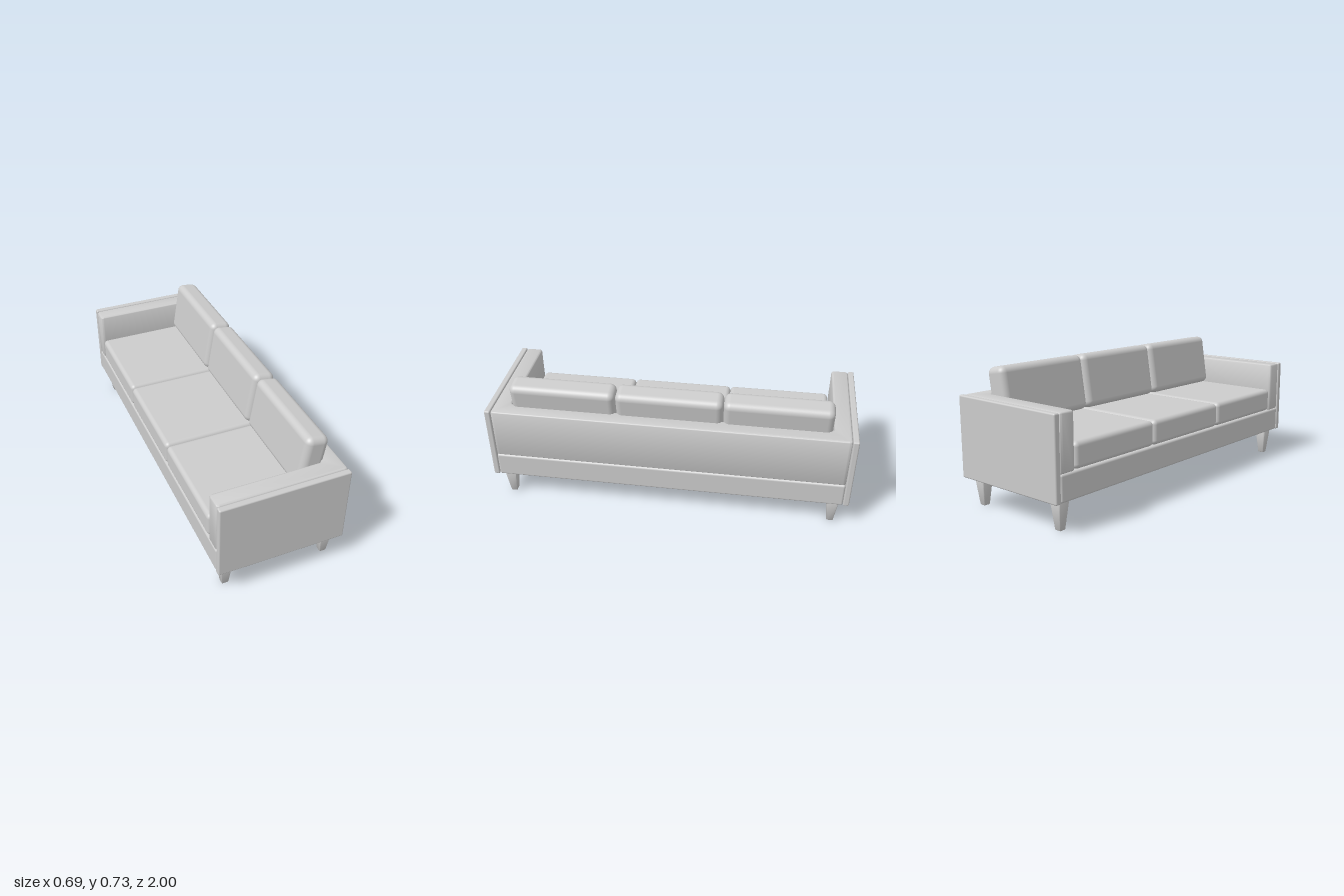
import * as THREE from 'three';
import { RoundedBoxGeometry } from 'three/addons/geometries/RoundedBoxGeometry.js';
import { toCreasedNormals } from 'three/addons/utils/BufferGeometryUtils.js';

const material = new THREE.MeshStandardMaterial({ color: 0xcccccc });

function add(parent, name, geometry, x, y, z) {
  const mesh = new THREE.Mesh(geometry, material);
  mesh.name = name;
  mesh.position.set(x, y, z);
  parent.add(mesh);
  return mesh;
}

// Closed outline with softened corners
function roundedOutline(points, radius) {
  const pts = points.map(([x, y]) => new THREE.Vector2(x, y));
  const toward = (a, b) => a.clone().add(b.clone().sub(a).setLength(radius));
  const shape = new THREE.Shape();
  pts.forEach((p, i) => {
    const start = toward(p, pts[(i + pts.length - 1) % pts.length]);
    const end = toward(p, pts[(i + 1) % pts.length]);
    if (i === 0) shape.moveTo(start.x, start.y);
    else shape.lineTo(start.x, start.y);
    shape.quadraticCurveTo(p.x, p.y, end.x, end.y);
  });
  shape.closePath();
  return shape;
}

// U-shaped upholstered body: back and both arms in one piece
function frameGeometry(height) {
  const x = 0.346, z = 0.966, innerX = 0.25, innerZ = 0.872, bevel = 0.012;
  const outline = roundedOutline([
    [-x, -z], [x, -z], [x, z], [-x, z],
    [-x, innerZ], [innerX, innerZ], [innerX, -innerZ], [-x, -innerZ],
  ], 0.018);
  const geometry = new THREE.ExtrudeGeometry(outline, {
    depth: height - 2 * bevel, curveSegments: 5,
    bevelThickness: bevel, bevelSize: bevel, bevelOffset: -bevel, bevelSegments: 4,
  });
  geometry.rotateX(Math.PI / 2);
  geometry.translate(0, height / 2 - bevel, 0);
  return toCreasedNormals(geometry, 0.7);
}

// Square leg narrowing toward the floor
function legGeometry(height) {
  const geometry = new RoundedBoxGeometry(0.071, height, 0.069, 3, 0.007);
  const p = geometry.attributes.position;
  for (let i = 0; i < p.count; i++) {
    const s = THREE.MathUtils.lerp(0.5, 1, p.getY(i) / height + 0.5);
    p.setX(i, p.getX(i) * s);
    p.setZ(i, p.getZ(i) * s);
  }
  return toCreasedNormals(geometry, 0.6);
}

export function createModel() {
  const sofa = new THREE.Group();
  sofa.name = 'sofa';

  // Plinth and body
  add(sofa, 'base', new RoundedBoxGeometry(0.692, 0.139, 1.932, 4, 0.012), 0, 0.2255, 0);
  add(sofa, 'backAndArms', frameGeometry(0.291), 0, 0.4405, 0);

  // Thin outer panels on both ends
  for (const side of [-1, 1]) {
    add(sofa, 'sidePanel', new RoundedBoxGeometry(0.694, 0.432, 0.033, 4, 0.008), 0, 0.371, side * 0.9835);
  }

  // Three seats, each with a leaning back cushion
  const seat = new RoundedBoxGeometry(0.597, 0.135, 0.578, 5, 0.025);
  const back = new RoundedBoxGeometry(0.125, 0.302, 0.576, 6, 0.035);
  for (const i of [-1, 0, 1]) {
    add(sofa, 'seatCushion', seat, -0.047, 0.3625, i * 0.579);
    add(sofa, 'backCushion', back, 0.21, 0.574, i * 0.579).rotation.z = -0.155;
  }

  // Legs
  const leg = legGeometry(0.156);
  for (const x of [-0.278, 0.284]) {
    for (const z of [-0.915, 0.915]) add(sofa, 'leg', leg, x, 0.078, z);
  }
  return sofa;
}
